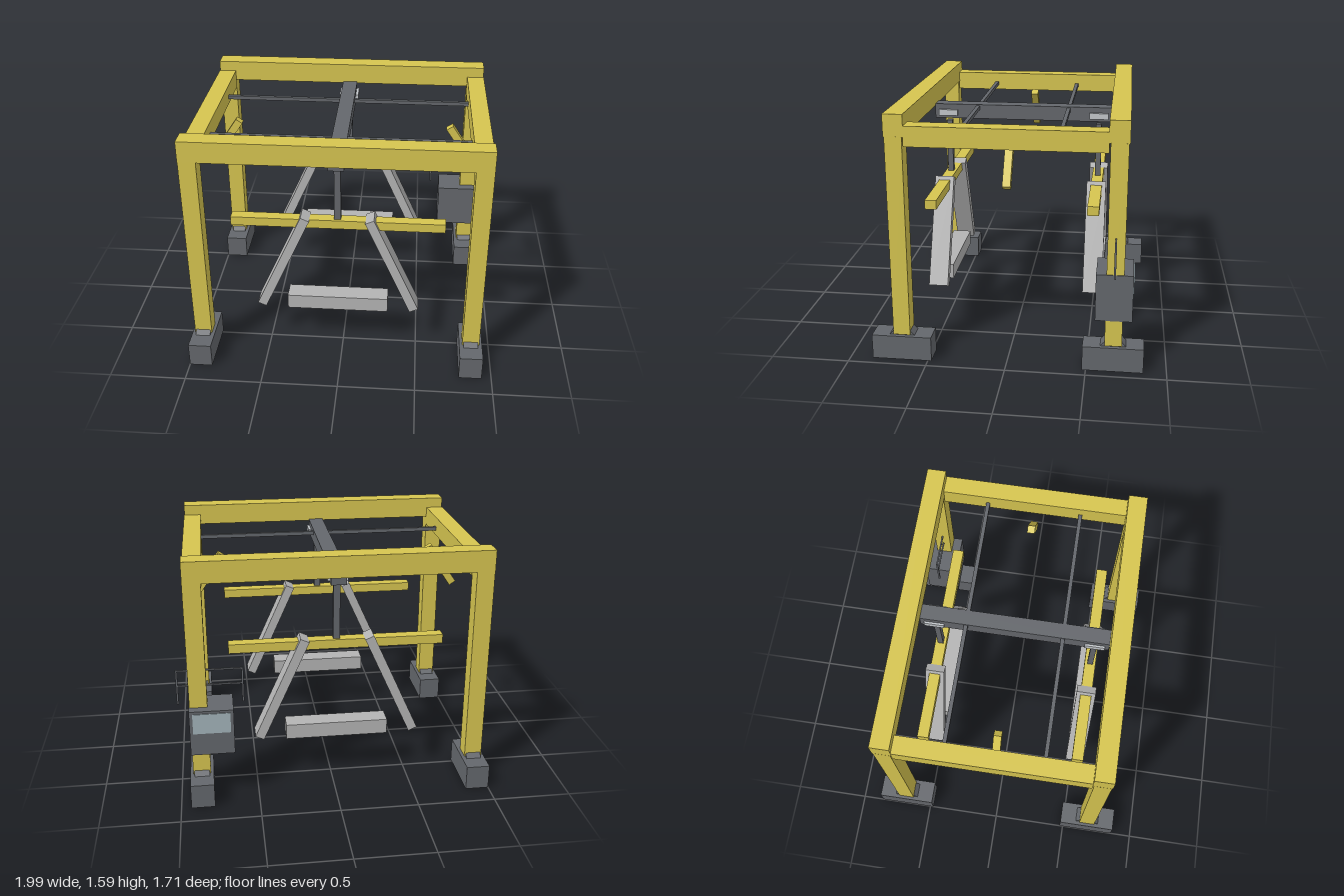
import * as THREE from 'three';

const paint = (color) => new THREE.MeshStandardMaterial({ color });
const YELLOW = paint(0xd6c550), DARK = paint(0x64676c), GREY = paint(0xb4b4b4);
const PALE = paint(0xc4c8cc), GLASS = paint(0xa3b4ba);

const CX = -0.032;   // middle of the gantry frame in x
const LEG_X = 0.893; // leg offset from that middle
const LEG_Z = 0.666;
const LIFT_Z = 0.513;

export function createModel() {
  const model = new THREE.Group();
  model.name = 'gantryCrane';

  const add = (name, geometry, material, x, y, z, parent = model) => {
    const mesh = new THREE.Mesh(geometry, material);
    mesh.name = name;
    mesh.position.set(x, y, z);
    parent.add(mesh);
    return mesh;
  };
  const box = (name, w, h, d, material, x, y, z, parent) =>
    add(name, new THREE.BoxGeometry(w, h, d), material, x, y, z, parent);

  // square bar between two points in the xy plane
  const bar = (name, x1, y1, x2, y2, thick, depth, material, z, parent) => {
    const mesh = box(name, thick, Math.hypot(x2 - x1, y2 - y1), depth, material,
      (x1 + x2) / 2, (y1 + y2) / 2, z, parent);
    mesh.rotation.z = -Math.atan2(x2 - x1, y2 - y1);
    return mesh;
  };

  // tapered saddle between foot and leg, extruded along x
  const saddle = new THREE.ExtrudeGeometry(new THREE.Shape([
    new THREE.Vector2(-0.08, 0), new THREE.Vector2(0.08, 0),
    new THREE.Vector2(0.053, 0.03), new THREE.Vector2(-0.053, 0.03),
  ]), { depth: 0.096, bevelEnabled: false });
  saddle.translate(0, 0, -0.048).rotateY(Math.PI / 2);

  // legs and feet
  for (const sx of [-1, 1]) {
    for (const sz of [-1, 1]) {
      const x = CX + sx * LEG_X, z = sz * LEG_Z;
      box('foot', 0.15, 0.16, 0.38, DARK, x, 0.08, z);
      add('footSaddle', saddle, DARK, x, 0.16, z);
      box('leg', 0.112, 1.29, 0.107, YELLOW, x, 0.81, z);
    }
    // side beam and its knee brace
    box('sideBeam', 0.117, 0.125, 1.21, YELLOW, CX + sx * LEG_X, 1.458, 0);
    bar('kneeBrace', CX + sx * 0.703, 1.409, CX + sx * 0.883, 1.142, 0.05, 0.05, YELLOW, 0);
  }

  // front and back girders, trolley rails
  for (const sz of [-1, 1]) {
    box('girder', 1.897, 0.138, 0.122, YELLOW, CX, 1.521, sz * 0.664);
    box('trolleyRail', 1.67, 0.025, 0.025, DARK, CX, 1.442, sz * 0.308);
  }

  // trolley beam
  box('trolleyBeam', 0.1, 0.096, 1.208, DARK, -0.034, 1.414, 0);

  // two lifting sets
  for (const sz of [-1, 1]) {
    const set = new THREE.Group();
    set.name = 'liftingSet';
    set.position.set(CX, 0, sz * LIFT_Z);
    model.add(set);
    box('hoistPlate', 0.132, 0.04, 0.127, PALE, 0, 1.405, 0, set);
    box('hoistPost', 0.043, 0.39, 0.037, DARK, 0, 1.148, 0, set);
    box('spreaderBar', 1.38, 0.06, 0.074, YELLOW, 0, 0.95, 0, set);
    for (const sx of [-1, 1]) {
      bar('slingLeg', sx * 0.207, 0.992, sx * 0.51, 0.318, 0.061, 0.127, GREY, 0, set);
    }
    box('lowerBar', 0.668, 0.1, 0.127, GREY, 0, 0.35, 0, set);
  }

  // operator cabin on the back leg
  const cabin = new THREE.Group();
  cabin.name = 'cabin';
  cabin.position.set(0.783, 0, -0.663);
  model.add(cabin);
  box('cabinBody', 0.277, 0.303, 0.228, DARK, 0, 0.488, 0, cabin);
  box('cabinWindow', 0.235, 0.135, 0.012, GLASS, 0, 0.555, -0.113, cabin);

  // guard rail above the cabin
  for (const sx of [-1, 1]) {
    box('railPost', 0.012, 0.23, 0.012, DARK, sx * 0.204, 0.759, 0, cabin);
  }
  for (const y of [0.871, 0.769]) {
    box('guardRail', 0.42, 0.01, 0.01, DARK, 0, y, 0, cabin);
  }

  return model;
}
